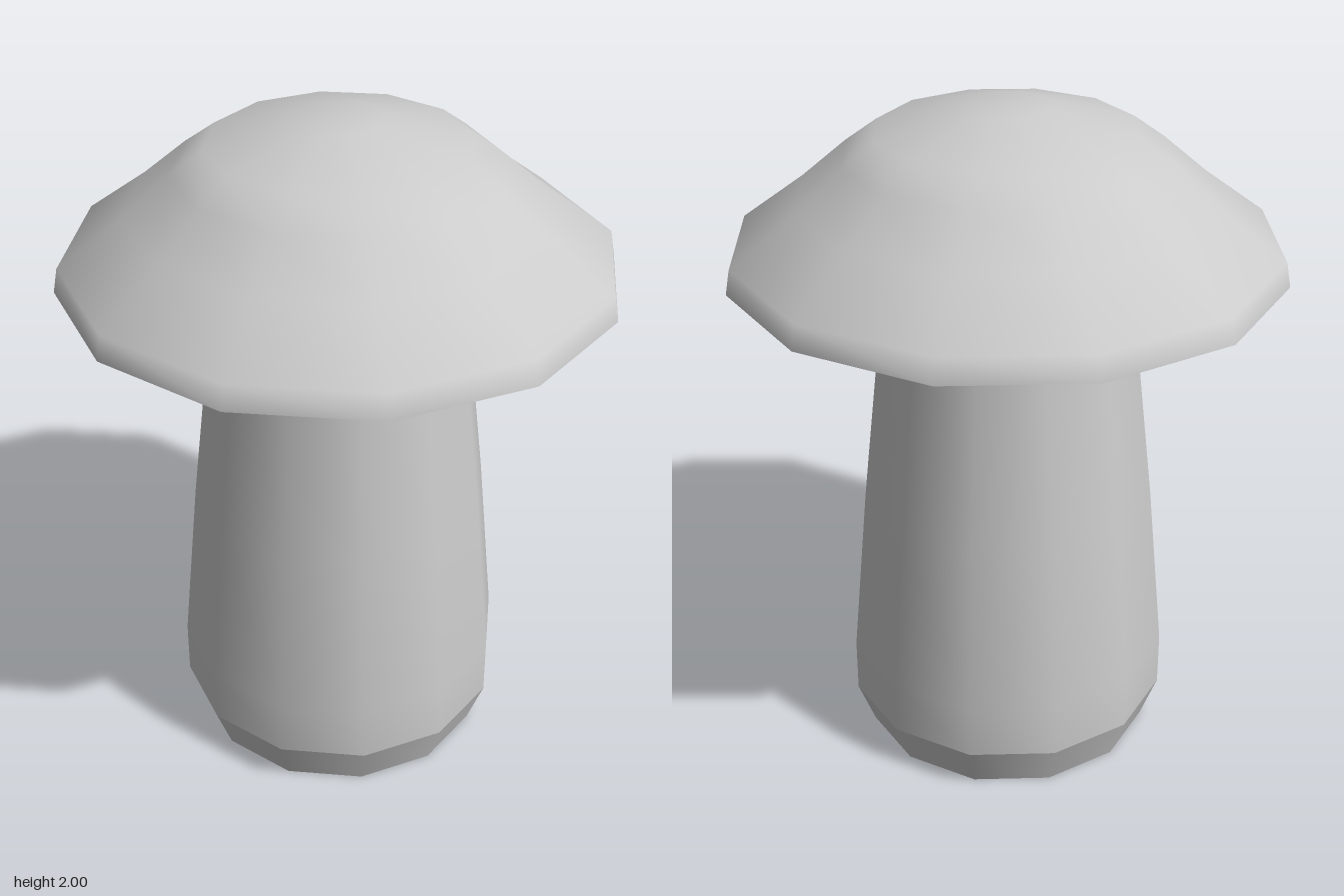
import * as THREE from 'three';

const SIDES = 12;
const material = new THREE.MeshStandardMaterial({ color: 0xcccccc });

// Revolved twelve-sided shell; profile radii are measured to the flat faces.
function shell(name, profile) {
  const toCorner = 1 / Math.cos(Math.PI / SIDES);
  const points = profile.map(([r, y]) => new THREE.Vector2(r * toCorner, y));
  const mesh = new THREE.Mesh(new THREE.LatheGeometry(points, SIDES, Math.PI / SIDES), material);
  mesh.name = name;
  return mesh;
}

export function createModel() {
  const model = new THREE.Group();
  model.name = 'mushroom';

  // Stem: flat base, bevelled foot, tapering shaft (separate shells keep the edges sharp)
  const stem = new THREE.Group();
  stem.name = 'stem';
  stem.add(
    shell('stemBase', [[0, 0], [0.428, 0]]),
    shell('stemFoot', [[0.428, 0], [0.477, 0.136]]),
    shell('stemShaft', [[0.477, 0.136], [0.477, 0.305], [0.428, 0.83], [0.349, 1.535]]),
  );

  // Cap: smooth dome above a flat underside
  const cap = new THREE.Group();
  cap.name = 'cap';
  cap.add(
    shell('capUnderside', [[0, 1.535], [0.777, 1.535]]),
    shell('capDome', [
      [0.777, 1.535], [0.764, 1.607], [0.582, 1.748], [0.453, 1.863],
      [0.362, 1.932], [0.12, 2], [0, 2],
    ]),
  );

  model.add(stem, cap);
  return model;
}
